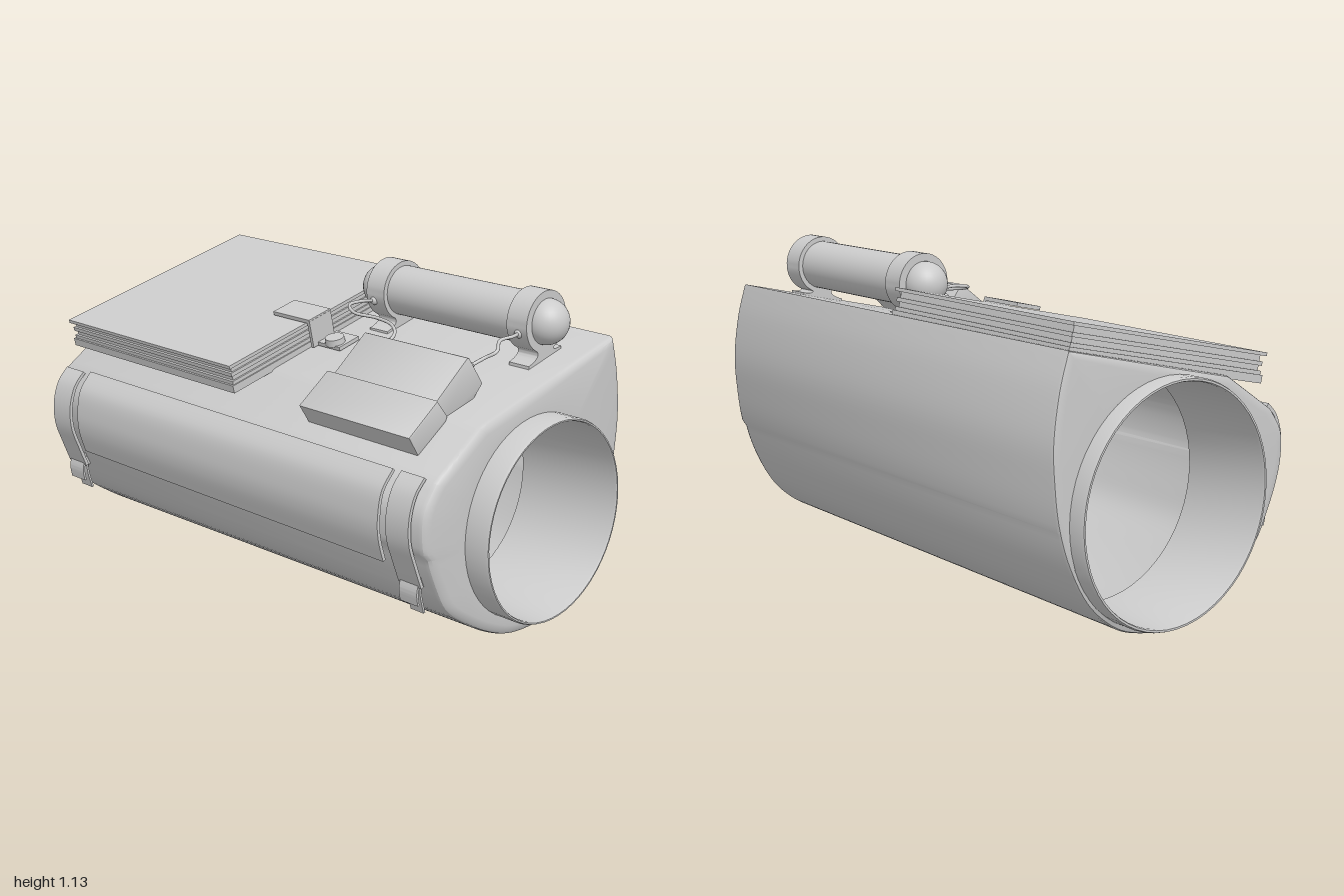
import * as THREE from 'three';
import { toCreasedNormals } from 'three/addons/utils/BufferGeometryUtils.js';

const grey = new THREE.MeshStandardMaterial({ color: 0xcccccc, side: THREE.DoubleSide });
const CX = 0.05, CY = 0.43; // axis of the arm opening
const V2 = (p) => new THREE.Vector2(p[0], p[1]);

function add(parent, name, geometry, x = 0, y = 0, z = 0) {
  const mesh = new THREE.Mesh(geometry, grey);
  mesh.name = name;
  mesh.position.set(x, y, z);
  parent.add(mesh);
  return mesh;
}

// Solid cut from an x-y outline, between two z values
function slab(outline, z0, z1, bevel = 0) {
  const geo = new THREE.ExtrudeGeometry(new THREE.Shape(outline), {
    depth: z1 - z0 - 2 * bevel, bevelEnabled: bevel > 0, bevelSize: bevel,
    bevelThickness: bevel, bevelOffset: -bevel, bevelSegments: 2,
  });
  geo.translate(0, 0, z0 + bevel);
  return toCreasedNormals(geo, 0.5);
}

// Thin bent strip that follows a path in x-y
function ribbon(path, thickness, z0, z1) {
  const pts = new THREE.SplineCurve(path.map(V2)).getPoints(24);
  const other = pts.map((p, i) => {
    const t = pts[Math.min(i + 1, 24)].clone().sub(pts[Math.max(i - 1, 0)]).normalize();
    return new THREE.Vector2(p.x - t.y * thickness, p.y + t.x * thickness);
  });
  return slab([...pts, ...other.reverse()], z0, z1);
}

// Outline of the shell at its rear end
function shellOutline() {
  const side = new THREE.SplineCurve([
    [0.468, 0.968], [0.503, 0.85], [0.525, 0.7], [0.52, 0.57], [0.5, 0.43], [0.453, 0.29],
    [0.37, 0.15], [0.25, 0.05], [0.13, 0.008], [0.05, 0.002], [-0.06, 0.016], [-0.17, 0.06],
    [-0.28, 0.125], [-0.385, 0.205], [-0.44, 0.3], [-0.485, 0.41], [-0.503, 0.5],
    [-0.495, 0.585], [-0.44, 0.665]].map(V2)).getSpacedPoints(90);
  const slope = new THREE.LineCurve(V2([-0.44, 0.665]), V2([-0.23, 0.802])).getPoints(8);
  const top = new THREE.LineCurve(V2([-0.23, 0.802]), V2([0.468, 0.968])).getPoints(24);
  return [...side, ...slope.slice(1), ...top.slice(1, -1)];
}

// Tapered shell with rounded ends that close in to round openings
function shellGeometry() {
  const outline = shellOutline();
  const ring = (z, rear, inset, hole) => outline.map((p) => {
    const d = new THREE.Vector2(p.x - CX, p.y - CY);
    const full = d.length() * (rear ? 1 : d.y > 0 ? 0.978 : 0.955);
    const edge = Math.min(hole, full - 0.006);
    const r = inset === null ? edge : full - Math.min(inset, (full - edge) * 0.6);
    d.setLength(r);
    return [CX + d.x, CY + d.y, z];
  });
  const rings = [ring(0.91, false, null, 0.34)];
  const bevel = [0, 0.35, 0.7, 1].map((t) => [1 - Math.cos(t * Math.PI / 2), 1 - Math.sin(t * Math.PI / 2)]);
  for (const [s, d] of [...bevel].reverse()) rings.push(ring(0.91 - 0.022 * s, false, 0.035 * d, 0.34).map((p) => p));
  rings[1] = ring(0.91, false, 0.035, 0.34);
  rings[2] = ring(0.905, false, 0.014, 0.34);
  rings[3] = ring(0.897, false, 0.004, 0.34);
  rings[4] = ring(0.885, false, 0, 0.34);
  rings.push(ring(-0.925, true, 0, 0.4), ring(-0.934, true, 0.004, 0.4),
    ring(-0.938, true, 0.014, 0.4), ring(-0.94, true, 0.035, 0.4), ring(-0.94, true, null, 0.4));
  const n = outline.length, pos = [], index = [];
  rings.forEach((r) => r.forEach((p) => pos.push(...p)));
  for (let i = 0; i < rings.length - 1; i++) {
    for (let j = 0; j < n; j++) {
      const a = i * n + j, b = i * n + (j + 1) % n;
      index.push(a, b, b + n, a, b + n, a + n);
    }
  }
  const geo = new THREE.BufferGeometry();
  geo.setAttribute('position', new THREE.Float32BufferAttribute(pos, 3));
  geo.setIndex(index);
  return toCreasedNormals(geo.toNonIndexed(), 0.55);
}

// Short sleeve lining an opening, with a rounded lip
function cuff(parent, name, outer, inner, root, lip, depth) {
  const s = Math.sign(lip);
  const pts = [[outer, root], [outer, lip - s * 0.01], [outer - 0.004, lip], [inner + 0.003, lip],
    [inner, lip - s * 0.008], [inner, depth]].map(V2);
  if (s < 0) pts.reverse();
  const geo = new THREE.LatheGeometry(pts, 56);
  geo.rotateX(Math.PI / 2);
  add(parent, name, toCreasedNormals(geo.toNonIndexed(), 0.6), CX, CY, 0);
}

export function createModel() {
  const model = new THREE.Group();
  model.name = 'wristDevice';

  add(model, 'shell', shellGeometry());
  cuff(model, 'frontCuff', 0.347, 0.335, 0.88, 1, 0.6);
  cuff(model, 'rearCuff', 0.411, 0.397, -0.9, -1, -0.66);

  // Layered screen block lying on the sloping top
  const screen = new THREE.Group();
  screen.name = 'screen';
  screen.position.set(-0.007, 0.94, -0.465);
  screen.rotation.z = 0.225;
  model.add(screen);
  const layers = [[0.006, 0.012, 0.887, 0.89], [-0.01, 0.022, 0.855, 0.862], [-0.027, 0.014, 0.872, 0.876],
    [-0.042, 0.018, 0.855, 0.862], [-0.058, 0.014, 0.872, 0.876], [-0.078, 0.028, 0.885, 0.886]];
  layers.forEach(([y, h, w, d], i) =>
    add(screen, i ? 'screenLayer' : 'screenPlate', new THREE.BoxGeometry(w, h, d), 0, y - 0.004, 0));

  // Bent latch over the front edge of the screen, with its button
  const latch = new THREE.Group();
  latch.name = 'latch';
  latch.position.set(-0.03, 0.94, 0);
  latch.rotation.z = 0.225;
  model.add(latch);
  add(latch, 'latchTop', new THREE.BoxGeometry(0.108, 0.014, 0.18), 0, 0.014, -0.085);
  add(latch, 'latchFlap', new THREE.BoxGeometry(0.108, 0.1, 0.012), 0, -0.035, 0);
  add(latch, 'latchBase', new THREE.BoxGeometry(0.1, 0.014, 0.11), 0.02, -0.08, 0.055);
  add(latch, 'button', new THREE.CylinderGeometry(0.034, 0.036, 0.025, 24), -0.003, -0.065, 0.065);

  // Round tank with domed ends, held by two footed clamps
  const tank = new THREE.Group();
  tank.name = 'tank';
  tank.position.set(0.23, 1.03, 0);
  model.add(tank);
  const body = new THREE.CylinderGeometry(0.088, 0.088, 0.6, 40);
  add(tank, 'tankBody', body.rotateX(Math.PI / 2), 0, 0, 0.435);
  for (const [z0, z1, dome] of [[0.08, 0.163, 0.07], [0.71, 0.793, 0.793]]) {
    add(tank, 'tankDome', new THREE.SphereGeometry(0.078, 32, 20), 0, 0, dome);
    const clamp = new THREE.Shape();
    clamp.absarc(0, 0, 0.105, -1.15, Math.PI + 1.15, false);
    clamp.quadraticCurveTo(-0.025, -0.12, -0.085, -0.137);
    clamp.lineTo(-0.085, -0.155);
    clamp.lineTo(0.085, -0.115);
    clamp.lineTo(0.085, -0.098);
    clamp.quadraticCurveTo(0.045, -0.108, 0.043, -0.096);
    add(tank, 'tankClamp', slab(clamp.getPoints(20), z0, z1));
  }

  // Tilted two-part control box
  add(model, 'controlBoxUpper', slab([[-0.268, 0.856], [-0.122, 0.968], [-0.112, 0.965], [-0.043, 0.868],
    [-0.1, 0.81], [-0.225, 0.78]].map(V2), 0.305, 0.755, 0.004));
  add(model, 'controlBoxLower', slab([[-0.408, 0.77], [-0.276, 0.862], [-0.225, 0.8], [-0.235, 0.78],
    [-0.362, 0.7]].map(V2), 0.28, 0.767, 0.006));

  // Cables from the control box to the tank, with round plugs
  const cables = [
    [[-0.07, 0.92, 0.34], [-0.02, 0.945, 0.345], [0.02, 0.965, 0.3], [0.03, 0.975, 0.22], [0.0, 0.985, 0.14],
      [0.03, 1.0, 0.09], [0.08, 1.005, 0.1], [0.13, 1.0, 0.11]],
    [[-0.07, 0.92, 0.715], [-0.02, 0.945, 0.74], [0.01, 0.965, 0.765], [0.05, 0.99, 0.745],
      [0.09, 1.0, 0.765], [0.13, 1.0, 0.755]]];
  for (const path of cables) {
    const pts = path.map((p) => new THREE.Vector3(...p));
    add(model, 'cable', new THREE.TubeGeometry(new THREE.CatmullRomCurve3(pts), 48, 0.006, 8));
    for (const p of [pts[0], pts[pts.length - 1]]) {
      add(model, 'cablePlug', new THREE.SphereGeometry(0.016, 16, 10), p.x + 0.005, p.y, p.z);
    }
  }

  // Curved guard along the right side, between two straps
  add(model, 'sideGuard', ribbon([[-0.44, 0.668], [-0.49, 0.61], [-0.506, 0.53], [-0.502, 0.46],
    [-0.478, 0.38]], -0.012, -0.78, 0.74));
  for (const [z0, z1, dx] of [[-0.905, -0.805, 0], [0.765, 0.86, 0.025]]) {
    const strap = new THREE.Group();
    strap.name = 'strap';
    strap.position.x = dx;
    model.add(strap);
    add(strap, 'strapBand', ribbon([[-0.455, 0.665], [-0.497, 0.62], [-0.52, 0.55], [-0.518, 0.47],
      [-0.49, 0.39], [-0.458, 0.31]], -0.012, z0, z1));
    add(strap, 'strapBuckle', slab([[-0.478, 0.35], [-0.45, 0.355], [-0.438, 0.305], [-0.468, 0.3]].map(V2),
      z0 + 0.012, z1 - 0.012));
    add(strap, 'strapTail', ribbon([[-0.465, 0.34], [-0.478, 0.29], [-0.472, 0.245]], 0.008, z0 + 0.01, z1 - 0.01));
    add(strap, 'strapTail', ribbon([[-0.455, 0.33], [-0.45, 0.27], [-0.432, 0.205]], 0.008, z0 + 0.02, z1 - 0.02));
  }
  return model;
}
